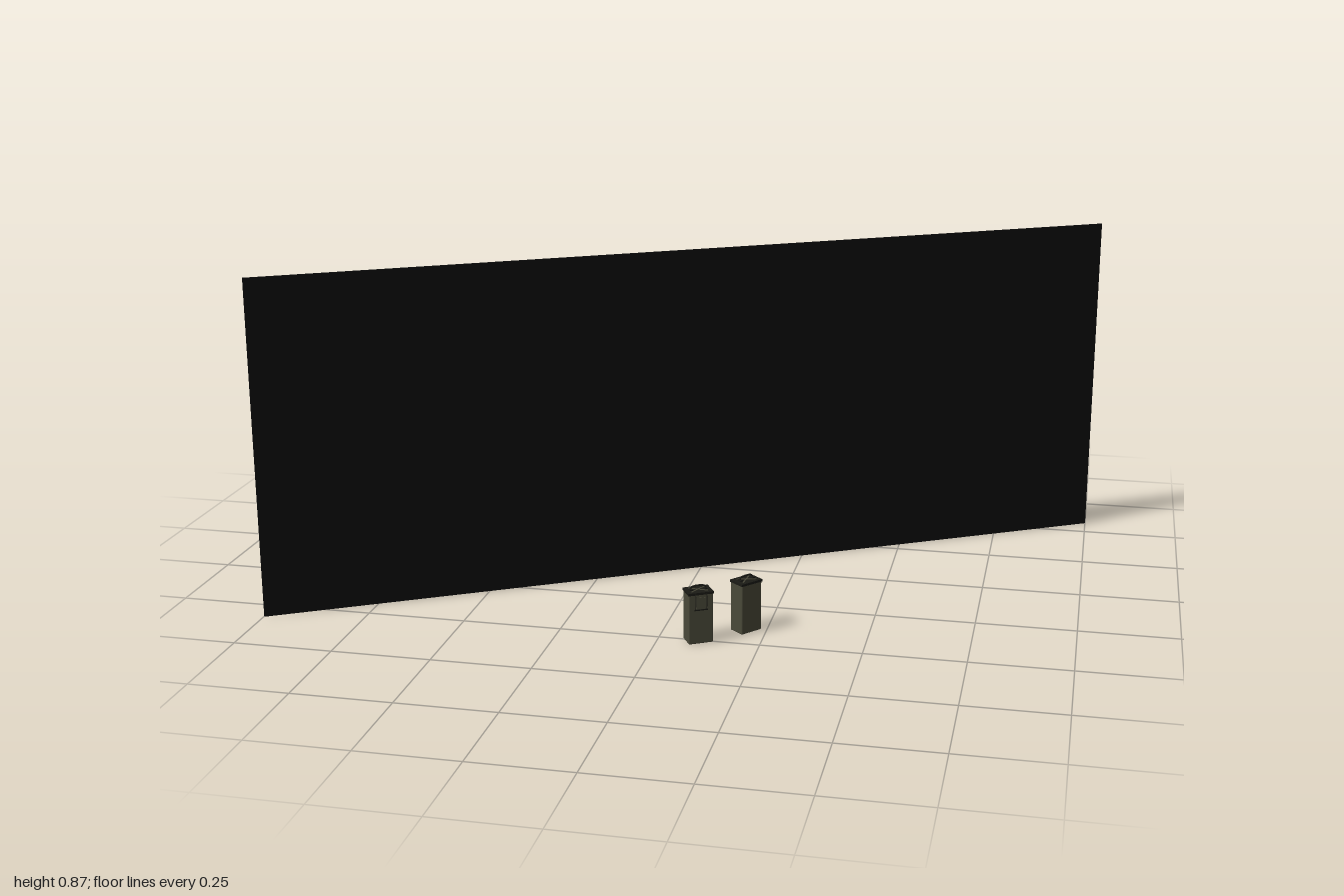
import * as THREE from 'three';
import { RoundedBoxGeometry } from 'three/addons/geometries/RoundedBoxGeometry.js';

const mat = (name, color) => {
  const m = new THREE.MeshStandardMaterial({ color });
  m.name = name;
  return m;
};

export function createModel() {
  const panelBlack = mat('panel black', 0x0c0c0c);
  const olive = mat('olive paint', 0x4a4939);
  const darkMetal = mat('dark metal', 0x1b1b16);

  const add = (parent, name, geometry, material, x, y, z) => {
    const mesh = new THREE.Mesh(geometry, material);
    mesh.name = name;
    mesh.position.set(x, y, z);
    parent.add(mesh);
    return mesh;
  };
  const box = (w, h, d) => new THREE.BoxGeometry(w, h, d);
  const tube = (points, r) => new THREE.TubeGeometry(
    new THREE.CatmullRomCurve3(points.map(p => new THREE.Vector3(...p)), false, 'centripetal'), 16, r, 6);

  // One tall storage can, latch on its local +z face
  function createCan(name, x, z, degrees) {
    const can = new THREE.Group();
    can.name = name;
    const w = 0.062, d = 0.045;
    add(can, 'body', new RoundedBoxGeometry(w, 0.128, d, 2, 0.003), olive, 0, 0.064, 0);

    // Lid with overhanging rim and raised cross ribs
    add(can, 'lid', box(w + 0.002, 0.006, d + 0.002), darkMetal, 0, 0.129, 0);
    for (const s of [-1, 1]) {
      const rib = add(can, 'lidRib', box(0.05, 0.0015, 0.003), olive, 0, 0.1325, 0);
      rib.rotation.y = s * 0.6;
    }

    // Carrying handle
    add(can, 'handle', tube([[-0.019, 0.131, 0], [-0.018, 0.139, 0], [-0.011, 0.142, 0],
      [0.011, 0.142, 0], [0.018, 0.139, 0], [0.019, 0.131, 0]], 0.002), darkMetal, 0, 0, 0);
    for (const s of [-1, 1]) {
      add(can, 'handleMount', box(0.007, 0.004, 0.012), darkMetal, s * 0.019, 0.133, 0);
    }

    // Latch plate, hinge bar and bail
    add(can, 'latchPlate', box(0.022, 0.03, 0.0015), olive, 0, 0.104, d / 2 + 0.0005);
    add(can, 'latchBar', box(0.034, 0.003, 0.003), darkMetal, 0, 0.088, d / 2 + 0.001);
    for (const s of [-1, 1]) {
      add(can, 'latchBail', tube([[s * 0.014, 0.088, d / 2 + 0.001], [s * 0.014, 0.103, d / 2 + 0.004],
        [s * 0.014, 0.118, d / 2 + 0.004], [s * 0.014, 0.129, d / 2 + 0.001]], 0.001), darkMetal, 0, 0, 0);
    }

    can.position.set(x, 0, z);
    can.rotation.y = THREE.MathUtils.degToRad(degrees);
    return can;
  }

  const model = new THREE.Group();
  model.name = 'panelAndCans';

  // Large upright panel, turned on the diagonal
  const panel = add(model, 'backPanel', box(2.307, 0.867, 0.004), panelBlack, 0, 0.4335, 0);
  panel.rotation.y = THREE.MathUtils.degToRad(29.95);

  model.add(createCan('frontCan', 0.098, 0.5, 30));
  model.add(createCan('rearCan', 0.199, 0.409, 230));
  return model;
}
